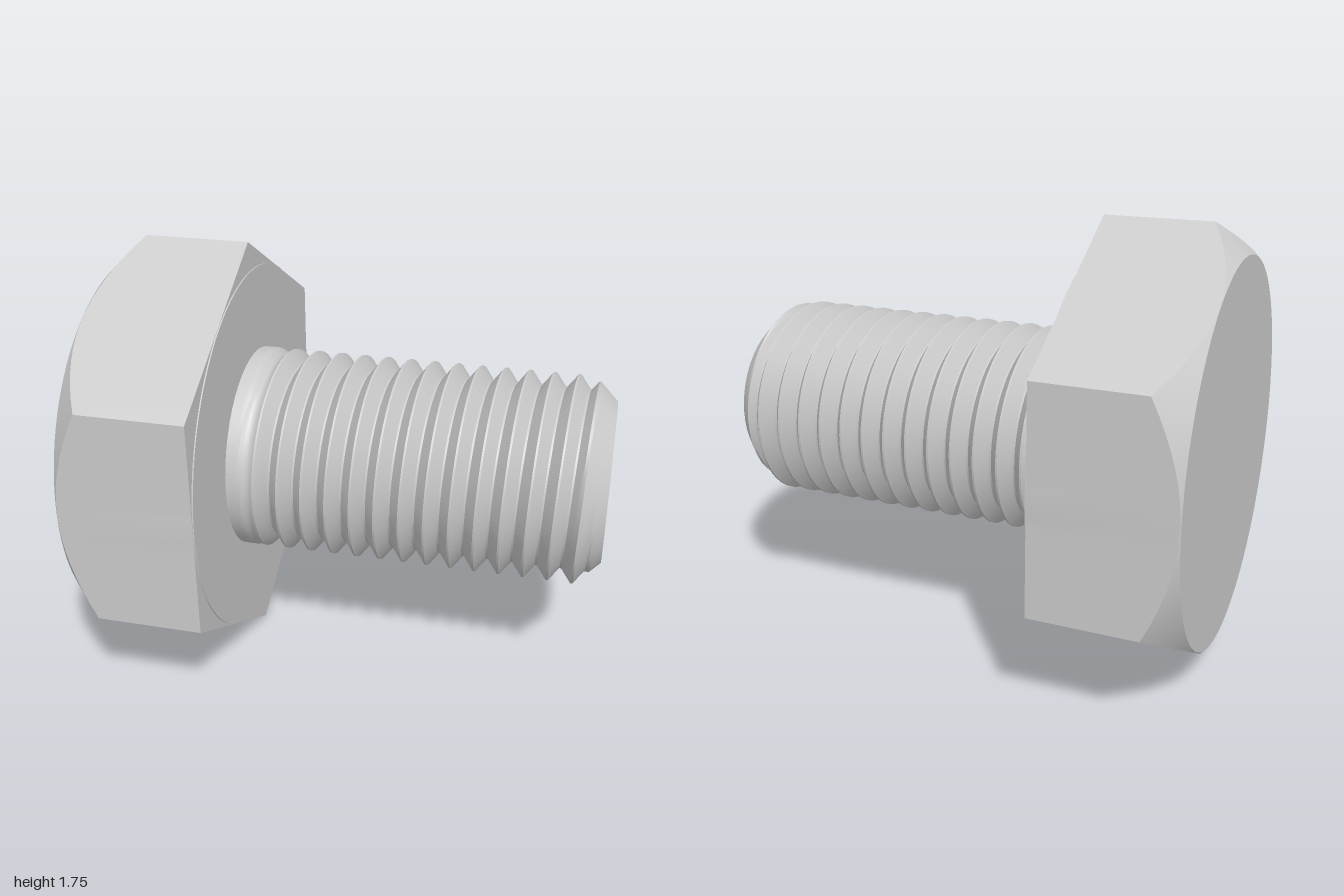
import * as THREE from 'three';
import { toCreasedNormals } from 'three/addons/utils/BufferGeometryUtils.js';

const AXIS_Y = 0.875;
const material = new THREE.MeshStandardMaterial({ color: 0xcccccc });

// Skin a closed surface round the x axis; at(row, angle) gives [x, radius]
function skin(name, rows, segments, crease, at) {
  const point = (i, j) => {
    const angle = (j / segments) * Math.PI * 2;
    const [x, r] = at(i, angle);
    return new THREE.Vector3(x, AXIS_Y + r * Math.cos(angle), r * Math.sin(angle));
  };
  const positions = [];
  const tri = new THREE.Triangle();
  const addFace = (a, b, c) => {
    if (tri.set(a, b, c).getArea() < 1e-8) return;
    for (const p of [a, b, c]) positions.push(p.x, p.y, p.z);
  };
  for (let i = 0; i < rows - 1; i++) {
    for (let j = 0; j < segments; j++) {
      const k = (j + 1) % segments === 0 ? segments : j + 1;
      const a = point(i, j), b = point(i + 1, j), c = point(i, k), d = point(i + 1, k);
      addFace(a, c, b);
      addFace(c, d, b);
    }
  }
  const geometry = new THREE.BufferGeometry();
  geometry.setAttribute('position', new THREE.Float32BufferAttribute(positions, 3));
  const mesh = new THREE.Mesh(toCreasedNormals(geometry, crease), material);
  mesh.name = name;
  return mesh;
}

// Hexagonal head with a 45 degree conical chamfer and a thin washer face
function makeHead() {
  const apothem = AXIS_Y * Math.cos(Math.PI / 6);
  const topRadius = 0.755;
  return skin('hexHead', 7, 96, 0.3, (row, angle) => {
    const hex = apothem / Math.cos((angle % (Math.PI / 3)) - Math.PI / 6);
    return [
      [-1, 0],
      [-1, topRadius],
      [-1 + hex - topRadius, hex],
      [-0.46, hex],
      [-0.46, 0.756],
      [-0.455, 0.756],
      [-0.455, 0],
    ][row];
  });
}

// Shank with a helical V thread, a run-out near the head and a chamfered tip
function makeShank() {
  const pitch = 0.0967, firstCrest = -0.323, crestRadius = 0.415, depth = 0.054;
  const fractions = [-0.04, 0.04, 0.15, 0.25, 0.35, 0.46, 0.54, 0.65, 0.75, 0.85];
  const firstTurn = -2, turns = 18;
  const rows = turns * fractions.length;
  const clamp = THREE.MathUtils.clamp;

  return skin('threadedShank', rows + 1, 48, 0.5, (row, angle) => {
    if (row === rows) return [1, 0];
    const lead = firstCrest - (pitch * angle) / (Math.PI * 2);
    const turn = firstTurn + Math.floor(row / fractions.length) + fractions[row % fractions.length];
    const x = clamp(lead + pitch * turn, -0.46, 1);
    const phase = (x - lead) / pitch;
    const fromCrest = Math.abs(phase - Math.round(phase));
    const groove = clamp((fromCrest - 0.04) / 0.42, 0, 1);
    const runOut = clamp((x + 0.4) / 0.08, 0, 1);
    const threadRadius = crestRadius - depth * groove * runOut;
    return [x, Math.min(threadRadius, 0.32 + (1 - x))];
  });
}

export function createModel() {
  const bolt = new THREE.Group();
  bolt.name = 'hexBolt';
  bolt.add(makeHead(), makeShank());
  return bolt;
}
